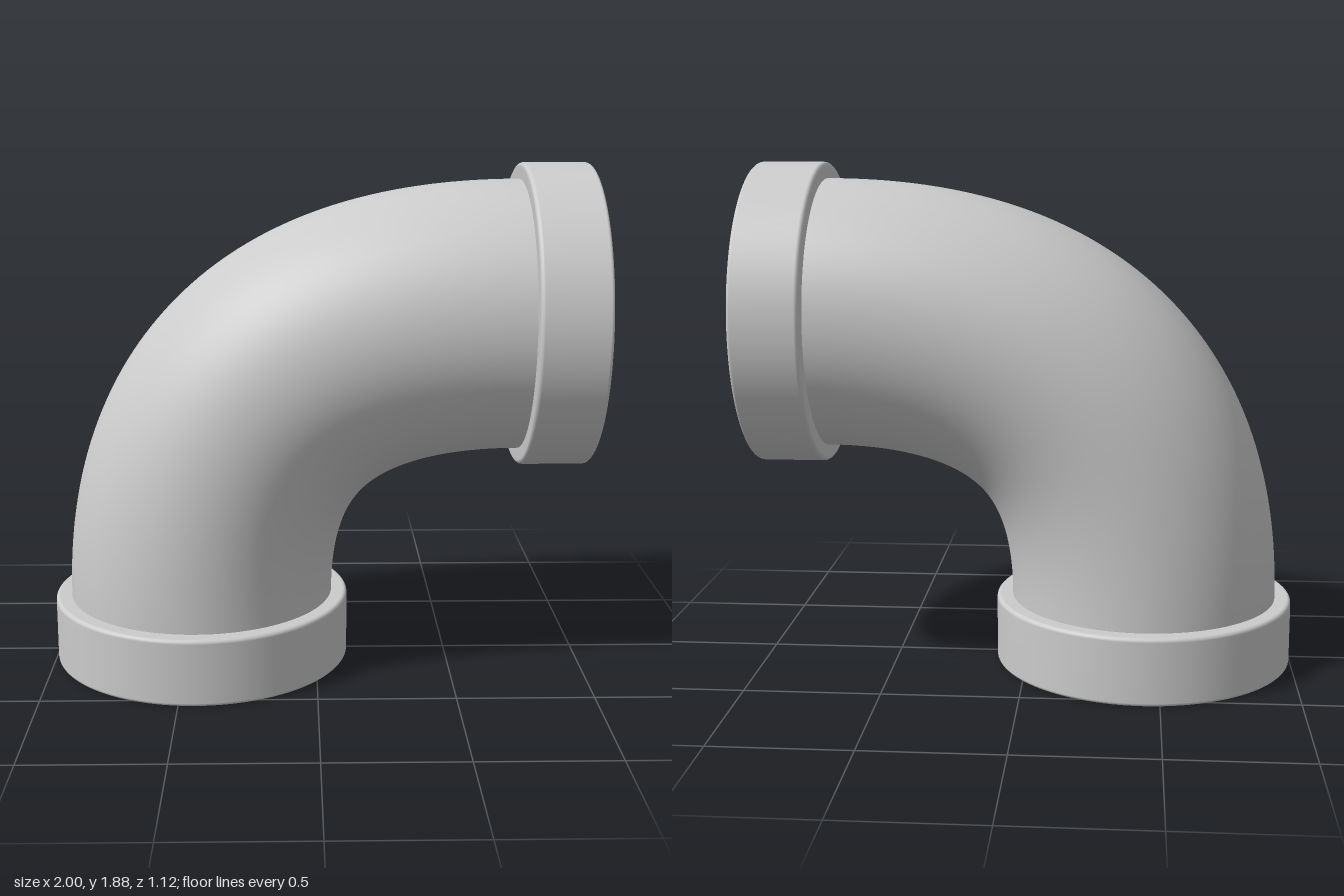
import * as THREE from 'three';

const material = new THREE.MeshStandardMaterial({ color: 0xcccccc, side: THREE.DoubleSide });

const PIPE_RADIUS = 0.5;
const COLLAR_RADIUS = 0.56;
const COLLAR_LENGTH = 0.25;
const BEND_X = -0.44; // axis of the lower opening
const BEND_Y = 1.32; // axis of the side opening

// Ring with rounded edges; its mouth is at y = 0 and its shoulder at y = COLLAR_LENGTH
function makeCollar(name, bore, shoulder) {
  const points = [];
  const arc = (r, y, radius, start) => {
    for (let i = 0; i <= 5; i++) {
      const a = start + (i / 5) * Math.PI / 2;
      points.push(new THREE.Vector2(r + radius * Math.cos(a), y + radius * Math.sin(a)));
    }
  };
  const lip = 0.012;
  const innerEdge = 0.02;
  arc(COLLAR_RADIUS - lip, lip, lip, -Math.PI / 2);
  arc(COLLAR_RADIUS - shoulder, COLLAR_LENGTH - shoulder, shoulder, 0);
  arc(bore + innerEdge, COLLAR_LENGTH - innerEdge, innerEdge, Math.PI / 2);
  arc(bore + lip, lip, lip, Math.PI);
  points.push(points[0].clone());
  const collar = new THREE.Mesh(new THREE.LatheGeometry(points, 96), material);
  collar.name = name;
  return collar;
}

export function createModel() {
  const model = new THREE.Group();
  model.name = 'pipeElbow';

  // Curved pipe between the two collars
  const path = new THREE.QuadraticBezierCurve3(
    new THREE.Vector3(BEND_X, COLLAR_LENGTH - 0.005, 0),
    new THREE.Vector3(BEND_X, BEND_Y, 0),
    new THREE.Vector3(1 - COLLAR_LENGTH + 0.005, BEND_Y, 0)
  );
  const pipe = new THREE.Mesh(new THREE.TubeGeometry(path, 80, PIPE_RADIUS, 96), material);
  pipe.name = 'bentPipe';
  model.add(pipe);

  // Lower collar, opening downwards
  const lower = makeCollar('lowerCollar', 0.46, 0.015);
  lower.position.x = BEND_X;
  model.add(lower);

  // Side collar, opening towards +x
  const side = makeCollar('sideCollar', 0.48, 0.015);
  side.rotation.z = Math.PI / 2;
  side.position.set(1, BEND_Y, 0);
  model.add(side);

  return model;
}
